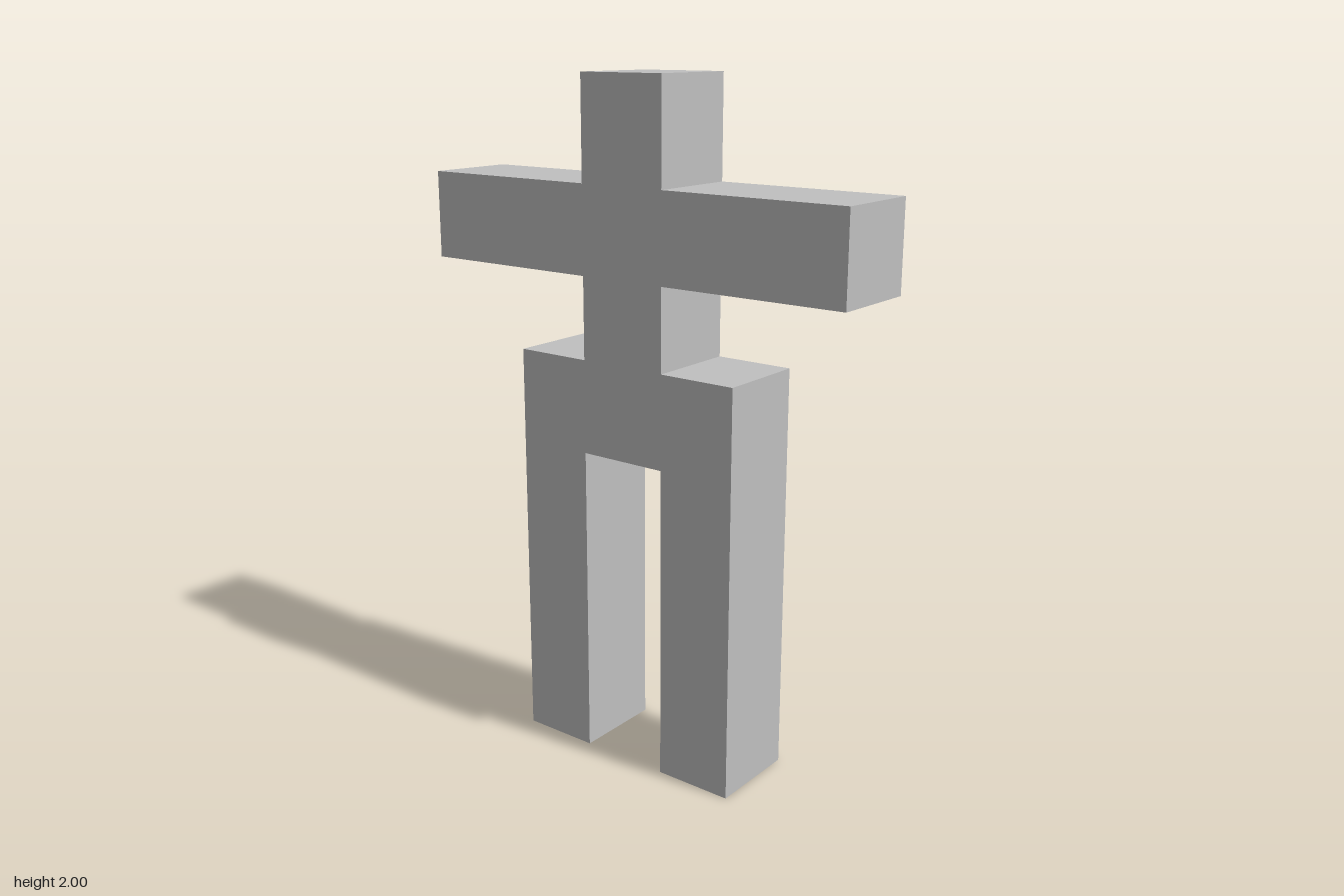
import * as THREE from 'three';

const DEPTH = 0.275;

export function createModel() {
  const group = new THREE.Group();
  group.name = 'blockFigure';

  const grey = new THREE.MeshStandardMaterial({ color: 0xc0c0c0 });
  grey.name = 'light grey';

  // Left half of the outline, from the crotch round to the top of the head
  const half = [
    [0.137, 0.935], [0.137, 0], [0.373, 0], [0.373, 1.21], // leg and hip
    [0.137, 1.21], [0.137, 1.45],                          // waist
    [0.702, 1.45], [0.702, 1.705],                         // arm
    [0.137, 1.705], [0.137, 2],                            // head
  ];
  const mirrored = half.map(([x, y]) => [-x, y]).reverse();
  const outline = [...half, ...mirrored].map(([x, y]) => new THREE.Vector2(x, y));

  // One solid slab, so head, arms, waist and legs join without seams
  const geometry = new THREE.ExtrudeGeometry(new THREE.Shape(outline), {
    depth: DEPTH,
    bevelEnabled: false,
  });
  geometry.translate(0, 0, -DEPTH / 2);

  const body = new THREE.Mesh(geometry, grey);
  body.name = 'body';
  group.add(body);
  return group;
}
